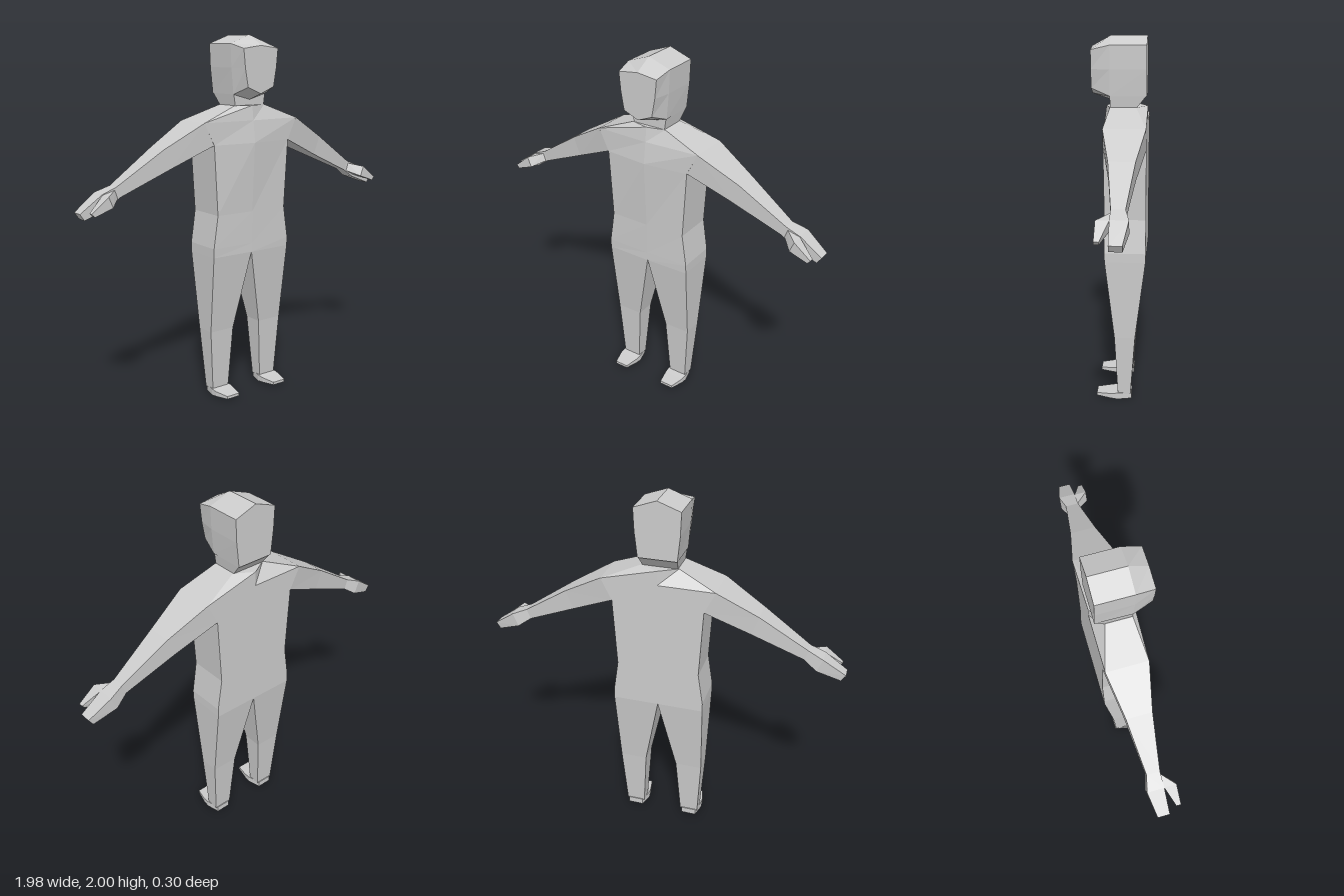
import * as THREE from 'three';

// Faceted solid through a list of rings (equal point counts), capped at both ends
function loft(rings) {
  const tris = [];
  const n = rings[0].length;
  for (let r = 0; r < rings.length - 1; r++) {
    const a = rings[r], b = rings[r + 1];
    for (let i = 0; i < n; i++) {
      const j = (i + 1) % n;
      tris.push([a[i], a[j], b[j]], [a[i], b[j], b[i]]);
    }
  }
  const first = rings[0], last = rings[rings.length - 1];
  for (let i = 1; i < n - 1; i++) {
    tris.push([first[0], first[i + 1], first[i]], [last[0], last[i], last[i + 1]]);
  }
  // Turn the faces outward whichever way the rings run (mirrored parts included)
  const o = new THREE.Vector3(...first[0]);
  let volume = 0;
  for (const t of tris) {
    const [p, q, s] = t.map(v => new THREE.Vector3(...v).sub(o));
    volume += p.dot(q.cross(s));
  }
  if (volume < 0) tris.forEach(t => t.reverse());
  const geo = new THREE.BufferGeometry();
  geo.setAttribute('position', new THREE.Float32BufferAttribute(tris.flat(2), 3));
  geo.computeVertexNormals();
  return geo;
}

// Horizontal rectangle: x range, z range at height y
const level = (y, x0, x1, zBack, zFront) =>
  [[x0, y, zFront], [x1, y, zFront], [x1, y, zBack], [x0, y, zBack]];

// Slanted limb section: upper and lower edge points, z range
const section = (xt, yt, xb, yb, zBack, zFront) =>
  [[xt, yt, zFront], [xb, yb, zFront], [xb, yb, zBack], [xt, yt, zBack]];

export function createModel() {
  const model = new THREE.Group();
  const grey = new THREE.MeshStandardMaterial({ color: 0xcccccc });
  grey.name = 'plainGrey';

  const add = (name, rings, parent = model) => {
    const mesh = new THREE.Mesh(loft(rings), grey);
    mesh.name = name;
    parent.add(mesh);
  };

  // Torso: hexagonal rings with a ridge down the middle of the chest
  const torsoRing = (y, w, front, mid, back, backMid = -0.15) => [
    [-w, y, front], [0, y, mid], [w, y, front],
    [w, y, back], [0, y, backMid], [-w, y, back],
  ];
  add('torso', [
    torsoRing(0.82, 0.255, 0.07, 0.075, -0.15),
    torsoRing(0.87, 0.255, 0.072, 0.075, -0.15),
    torsoRing(1.05, 0.228, 0.072, 0.077, -0.15),
    torsoRing(1.43, 0.25, 0.075, 0.1, -0.15),
    torsoRing(1.55, 0.31, 0.072, 0.085, -0.15),
    torsoRing(1.63, 0.1, 0.05, 0.075, -0.09),
  ]);

  // Neck
  add('neck', [
    level(1.625, -0.095, 0.095, -0.09, 0.05),
    level(1.695, -0.105, 0.105, -0.145, 0.05),
  ]);

  // Head: peaked cross-sections from back to face
  const headRing = (z, peak, wTop, yTop, wMid, wLow, yLow, chin) => [
    [0, peak, z], [wTop, yTop, z], [wMid, 1.83, z], [wLow, yLow, z],
    [0, chin, z], [-wLow, yLow, z], [-wMid, 1.83, z], [-wTop, yTop, z],
  ];
  add('head', [
    headRing(-0.145, 2.0, 0.125, 1.955, 0.12, 0.105, 1.69, 1.69),
    headRing(0.05, 2.0, 0.125, 1.955, 0.12, 0.108, 1.69, 1.66),
    headRing(0.15, 1.945, 0.113, 1.93, 0.103, 0.085, 1.73, 1.695),
  ]);

  for (const side of [1, -1]) {
    const label = side > 0 ? 'left' : 'right';
    const flip = rings => rings.map(r => r.map(([x, y, z]) => [x * side, y, z]));

    // Arm with hand and thumb
    const arm = new THREE.Group();
    arm.name = label + 'Arm';
    add(label + 'Sleeve', flip([
      section(0.31, 1.55, 0.25, 1.43, -0.15, 0.073),
      section(0.53, 1.425, 0.49, 1.322, -0.108, 0.028),
      section(0.79, 1.255, 0.77, 1.2, -0.075, -0.005),
    ]), arm);
    add(label + 'Hand', flip([
      section(0.79, 1.255, 0.77, 1.2, -0.075, -0.005),
      section(0.87, 1.225, 0.84, 1.153, -0.095, -0.005),
      section(0.992, 1.14, 0.968, 1.105, -0.072, -0.008),
    ]), arm);
    add(label + 'Thumb', flip([
      section(0.8, 1.24, 0.785, 1.195, -0.04, -0.005),
      section(0.868, 1.222, 0.845, 1.165, -0.005, 0.06),
      section(0.962, 1.148, 0.945, 1.13, 0.035, 0.06),
    ]), arm);
    model.add(arm);

    // Leg tapering to the ankle, with a flat foot
    const leg = new THREE.Group();
    leg.name = label + 'Leg';
    add(label + 'Trouser', flip([
      level(0.82, 0, 0.255, -0.15, 0.07),
      level(0.38, 0.092, 0.243, -0.095, 0.018),
      level(0.03, 0.115, 0.22, -0.07, 0),
    ]), leg);
    const footSection = (z, x0, x1, y0, y1) =>
      [[x0, y0, z], [x1, y0, z], [x1, y1, z], [x0, y1, z]];
    add(label + 'Foot', flip([
      footSection(-0.075, 0.125, 0.21, 0, 0.035),
      footSection(0, 0.105, 0.228, 0, 0.037),
      footSection(0.04, 0.108, 0.226, 0.004, 0.032),
      footSection(0.12, 0.125, 0.205, 0.01, 0.026),
    ]), leg);
    model.add(leg);
  }
  return model;
}
